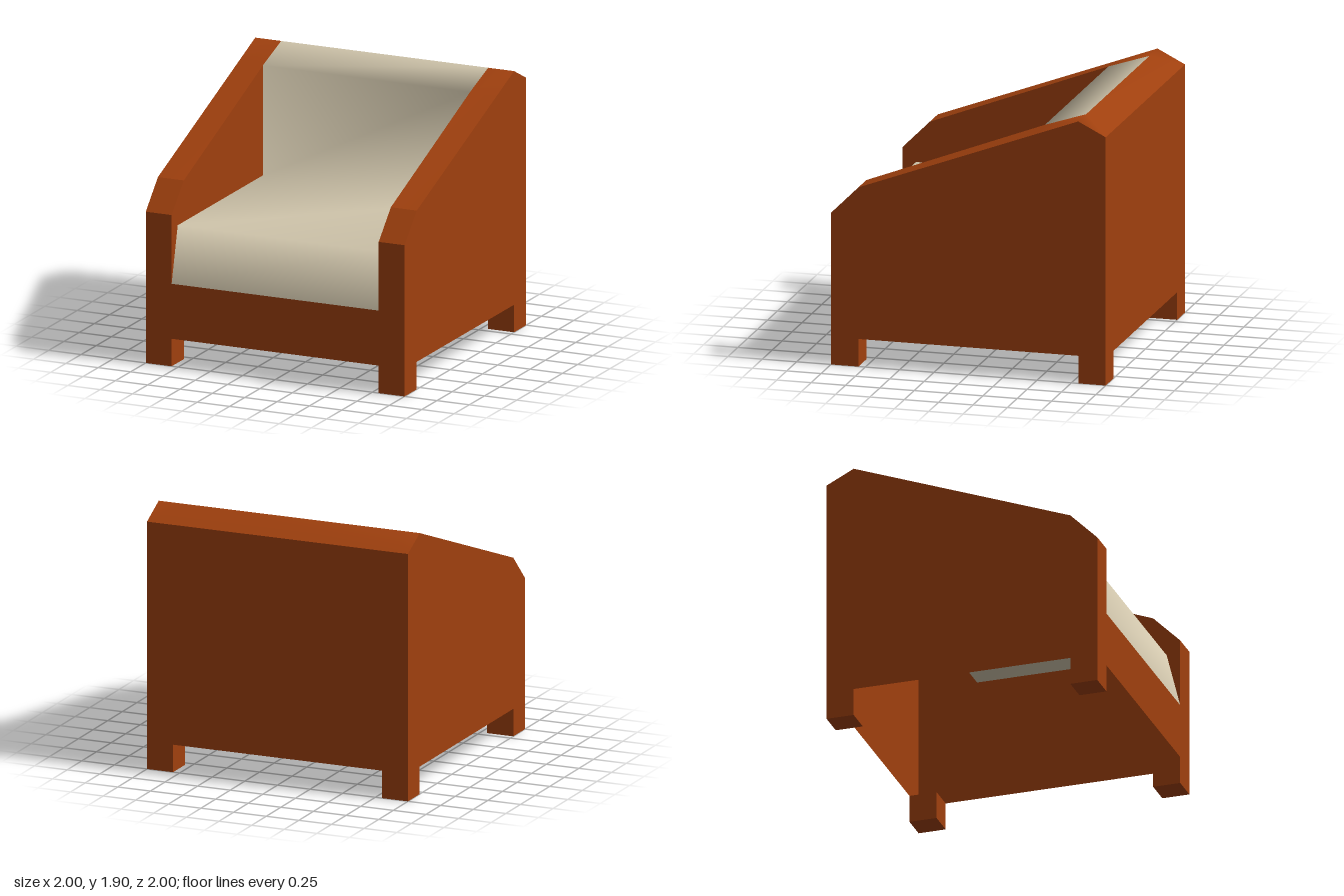
import * as THREE from 'three';
import { mergeVertices } from 'three/addons/utils/BufferGeometryUtils.js';

const wood = new THREE.MeshStandardMaterial({ color: 0xa0400e, side: THREE.DoubleSide });
wood.name = 'rust brown';
const fabric = new THREE.MeshStandardMaterial({ color: 0xd2c7ad, side: THREE.DoubleSide });
fabric.name = 'cream fabric';

// Smooth strip between two rows of points of equal length
function strip(outer, inner) {
  const n = outer.length;
  const index = [];
  for (let i = 0; i < n - 1; i++) {
    index.push(i, i + 1, n + i, i + 1, n + i + 1, n + i);
  }
  const g = new THREE.BufferGeometry();
  g.setAttribute('position', new THREE.Float32BufferAttribute([...outer, ...inner].flat(), 3));
  g.setIndex(index);
  const merged = mergeVertices(g);
  merged.computeVertexNormals();
  return merged;
}

// Strip across x from a [z, y] profile running front to back
const sweep = (profile, x0, x1) =>
  strip(profile.map(([z, y]) => [x0, y, z]), profile.map(([z, y]) => [x1, y, z]));

// Flat wall at x from a [z, y] outline, facing +x (dir 1) or -x (dir -1)
function sideWall(outline, x, dir) {
  const shape = new THREE.Shape(outline.map(([z, y]) => new THREE.Vector2(-dir * z, y)));
  return new THREE.ShapeGeometry(shape).rotateY(dir * Math.PI / 2).translate(x, 0, 0);
}

export function createModel() {
  const group = new THREE.Group();
  const add = (name, geometry, material = wood) => {
    const mesh = new THREE.Mesh(geometry, material);
    mesh.name = name;
    group.add(mesh);
    return mesh;
  };

  // Seat and backrest in one continuous upholstered surface
  const cushion = [[1, 0.6], [0.9, 1], [-0.5, 1], [-0.5, 1.8], [-0.8, 1.9]];
  add('cushion', sweep(cushion, 0.8, -0.8), fabric);

  // Front panel with both arm fronts
  const front = [[-1, 0.2], [1, 0.2], [1, 1.1], [0.8, 1.1], [0.8, 0.6], [-0.8, 0.6], [-0.8, 1.1], [-1, 1.1]];
  add('frontPanel', new THREE.ShapeGeometry(
    new THREE.Shape(front.map(p => new THREE.Vector2(...p)))).translate(0, 0, 1));

  // Back panel
  add('backPanel', new THREE.PlaneGeometry(2, 1.6).rotateY(Math.PI).translate(0, 1, -1));

  // Arm walls, bevelled arm fronts and legs
  const outerWall = [[1, 0.2], [1, 1.1], [0.8, 1.3], [-0.8, 1.9], [-1, 1.8], [-1, 0.2]];
  const innerWall = [[1, 0.6], [1, 1.1], [0.8, 1.3], [-0.5, 1.8], [-0.5, 1], [0.9, 1]];
  for (const s of [1, -1]) {
    const side = s > 0 ? 'left' : 'right';
    add(side + 'OuterWall', sideWall(outerWall, s, s));
    add(side + 'InnerWall', sideWall(innerWall, s * 0.8, -s));
    add(side + 'ArmBevel', sweep([[1, 1.1], [0.8, 1.3]], s > 0 ? 1 : -0.8, s > 0 ? 0.8 : -1));
    for (const z of [0.9, -0.9]) {
      add(side + (z > 0 ? 'FrontLeg' : 'BackLeg'),
        new THREE.BoxGeometry(0.2, 0.2, 0.2).translate(s * 0.9, 0.1, z));
    }
  }

  // Top rim running up one arm, along the back and down the other arm
  const outer = [[1, 1.3, 0.8], [1, 1.7875, -0.5], [1, 1.9, -0.8], [1, 1.8, -1]];
  const inner = [[0.8, 1.3, 0.8], [0.8, 1.8, -0.5], [0.8, 1.9, -0.8], [0.8, 1.9, -0.8]];
  const mirrored = row => [...row, ...row.map(([x, y, z]) => [-x, y, z]).reverse()];
  add('topRim', strip(mirrored(outer), mirrored(inner)));

  return group;
}
